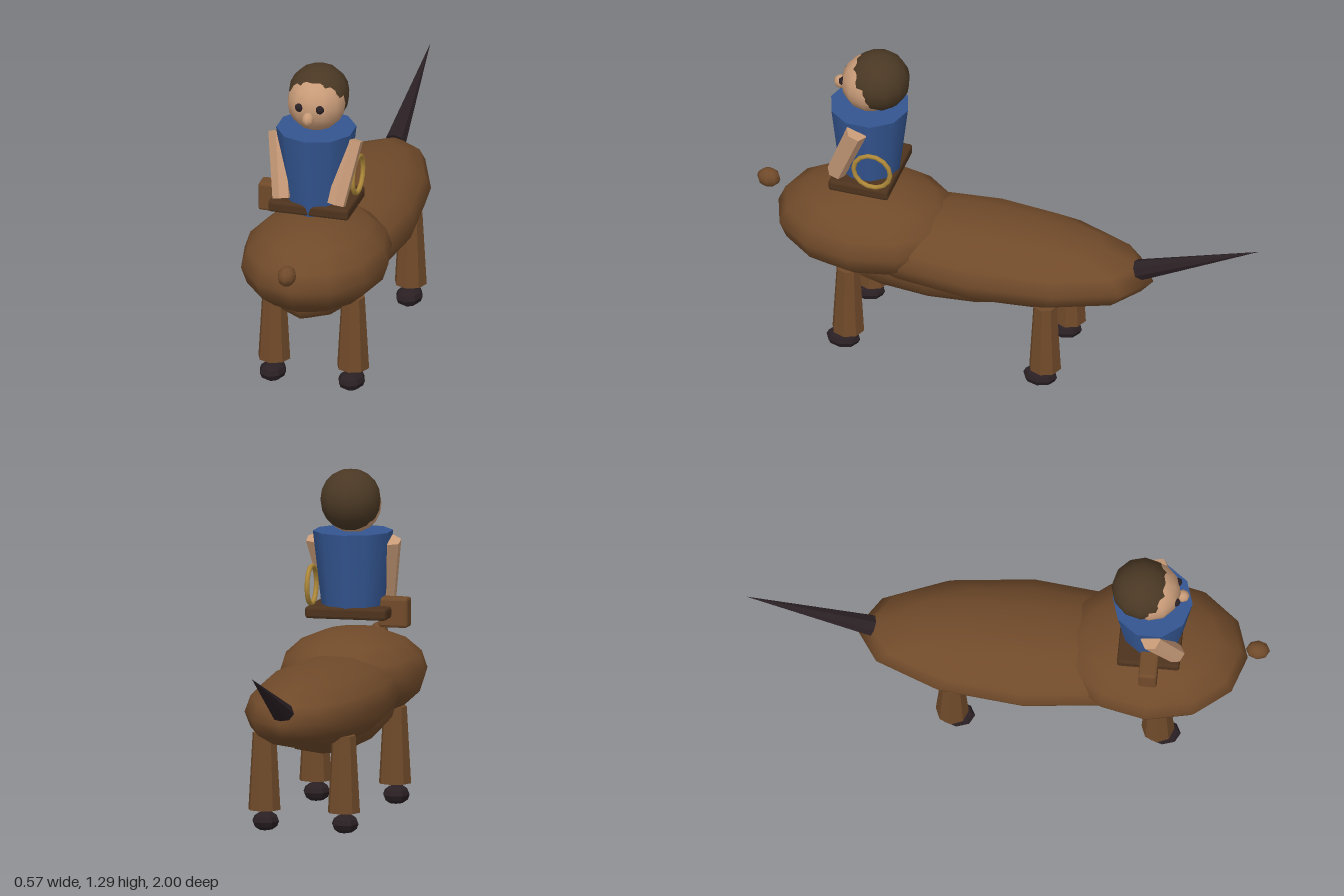
import * as THREE from 'three';
import { RoundedBoxGeometry } from 'three/addons/geometries/RoundedBoxGeometry.js';

const paint = (name, color, flatShading = false) => {
  const m = new THREE.MeshStandardMaterial({ color, flatShading });
  m.name = name;
  return m;
};

export function createModel() {
  const model = new THREE.Group();
  model.name = 'riderOnAnimal';

  const coat = paint('brown coat', 0x704a2a);
  const legCoat = paint('brown facets', 0x704a2a, true);
  const dark = paint('dark horn', 0x2a2024, true);
  const leather = paint('dark leather', 0x4d331d, true);
  const cloth = paint('blue cloth', 0x335590);
  const skin = paint('skin', 0xc89b78);
  const armSkin = paint('skin facets', 0xc89b78, true);
  const hairBrown = paint('hair brown', 0x4a3824);
  const gold = paint('gold', 0xb08a3a);

  const add = (name, geometry, material, [x, y, z]) => {
    const mesh = new THREE.Mesh(geometry, material);
    mesh.name = name;
    mesh.position.set(x, y, z);
    model.add(mesh);
    return mesh;
  };
  const ellipsoid = (name, material, at, [rx, ry, rz], seg = 12, rings = 8) =>
    add(name, new THREE.SphereGeometry(1, seg, rings).scale(rx, ry, rz), material, at);

  // Tapered round bar from a to b
  const bar = (name, material, a, b, rA, rB, sides) => {
    const start = new THREE.Vector3(...a), end = new THREE.Vector3(...b);
    const dir = end.clone().sub(start);
    const mid = start.clone().add(end).multiplyScalar(0.5);
    const mesh = add(name, new THREE.CylinderGeometry(rB, rA, dir.length(), sides), material, mid.toArray());
    mesh.quaternion.setFromUnitVectors(new THREE.Vector3(0, 1, 0), dir.normalize());
    return mesh;
  };

  // Animal body
  ellipsoid('frontBody', coat, [0, 0.512, 0.55], [0.284, 0.172, 0.365]);
  ellipsoid('rearBody', coat, [0, 0.465, 0.08], [0.255, 0.155, 0.66]);
  ellipsoid('belly', coat, [0, 0.405, 0.275], [0.2, 0.15, 0.54]);
  ellipsoid('muzzle', coat, [0, 0.607, 0.954], [0.036, 0.039, 0.046], 8, 6);
  bar('tail', dark, [0, 0.505, -0.52], [0, 0.705, -1], 0.042, 0, 8);

  // Legs and hooves
  for (const side of [-1, 1]) {
    for (const [end, z] of [['front', 0.587], ['rear', -0.198]]) {
      bar(end + 'Leg', legCoat, [side * 0.156, 0.085, z], [side * 0.156, 0.38, z], 0.063, 0.046, 8);
      ellipsoid(end + 'Hoof', dark, [side * 0.156, 0.038, z + 0.02], [0.052, 0.037, 0.067], 8, 6);
    }
  }

  // Seat, side bag and hanging ring
  add('seat', new RoundedBoxGeometry(0.318, 0.045, 0.238, 1, 0.01), leather, [0, 0.75, 0.549]);
  add('bag', new RoundedBoxGeometry(0.115, 0.114, 0.07, 1, 0.01), legCoat, [-0.164, 0.747, 0.552]);
  add('ring', new THREE.TorusGeometry(0.073, 0.0095, 6, 14), gold, [0.148, 0.848, 0.496])
    .rotation.y = Math.PI / 2;

  // Rider's torso and arms
  add('torso', new THREE.CylinderGeometry(0.153, 0.115, 0.328, 10), cloth, [0, 0.891, 0.552]);
  for (const side of [-1, 1]) {
    bar('arm', armSkin, [side * 0.108, 0.785, 0.65], [side * 0.147, 1.022, 0.558], 0.037, 0.041, 6);
    ellipsoid('eye', dark, [side * 0.041, 1.171, 0.645], [0.017, 0.017, 0.017], 8, 6);
  }

  // Rider's head
  ellipsoid('head', skin, [0, 1.16, 0.547], [0.113, 0.113, 0.113], 12, 10);
  ellipsoid('hair', hairBrown, [0, 1.178, 0.515], [0.118, 0.118, 0.12], 12, 10);
  ellipsoid('nose', skin, [0, 1.135, 0.667], [0.024, 0.028, 0.027], 8, 6);

  return model;
}
